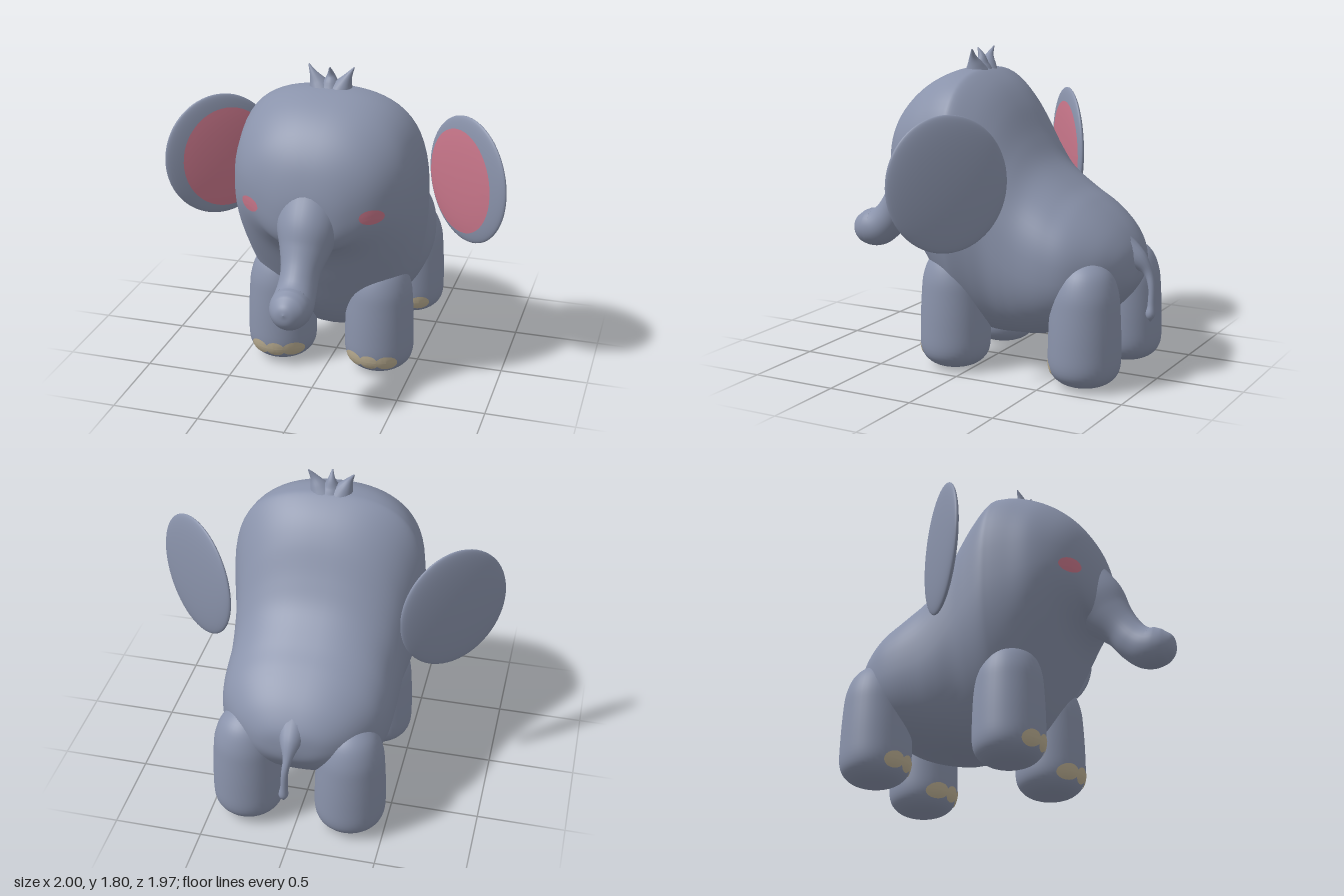
import * as THREE from 'three';

const V = (x, y, z) => new THREE.Vector3(x, y, z);
const skin = new THREE.MeshStandardMaterial({ name: 'blue grey skin', color: 0x8a93ab });
const pink = new THREE.MeshStandardMaterial({ name: 'pink', color: 0xc8768a });
const ivory = new THREE.MeshStandardMaterial({ name: 'ivory nail', color: 0xbdb094 });

function part(name, geometry, material = skin) {
  const mesh = new THREE.Mesh(geometry, material);
  mesh.name = name;
  return mesh;
}

// Closed smooth skin over rings; ring(t) gives a function of the angle around it
function loft(ring, steps, around) {
  const pos = [], index = [];
  for (let i = 0; i <= steps; i++) {
    const at = ring(i / steps);
    for (let j = 0; j < around; j++) pos.push(...at((j / around) * Math.PI * 2).toArray());
  }
  for (let i = 0; i < steps; i++) {
    for (let j = 0; j < around; j++) {
      const a = i * around + j, b = i * around + (j + 1) % around;
      index.push(a, b, a + around, b, b + around, a + around);
    }
  }
  const geo = new THREE.BufferGeometry();
  geo.setAttribute('position', new THREE.Float32BufferAttribute(pos, 3));
  geo.setIndex(index);
  geo.computeVertexNormals();
  return geo;
}

const spline = (points) => new THREE.CatmullRomCurve3(points, false, 'catmullrom', 0.5);

// Round tube through [x, y, z, radius] points
function taperedTube(points, steps, around) {
  const path = spline(points.map((p) => V(p[0], p[1], p[2])));
  const radius = spline(points.map((p) => V(p[3], 0, 0)));
  return loft((t) => {
    const c = path.getPoint(t), d = path.getTangent(t), r = Math.max(0.001, radius.getPoint(t).x);
    const v = d.clone().cross(V(1, 0, 0)).normalize();
    const u = v.clone().cross(d);
    return (a) => c.clone().addScaledVector(u, r * Math.cos(a)).addScaledVector(v, r * Math.sin(a));
  }, steps, around);
}

// Upright body sections, rump to face: [z, bottom, top, half width, lift of widest level]
const SECTIONS = [
  [-0.88, 0.61, 0.66, 0.01, 0], [-0.86, 0.53, 0.74, 0.17, 0], [-0.8, 0.44, 0.83, 0.29, 0],
  [-0.72, 0.36, 0.91, 0.38, 0], [-0.62, 0.29, 0.985, 0.45, 0], [-0.5, 0.24, 1.06, 0.48, 0],
  [-0.35, 0.2, 1.18, 0.485, 0], [-0.25, 0.19, 1.32, 0.49, 0.02], [-0.15, 0.18, 1.49, 0.5, 0.08],
  [-0.06, 0.18, 1.6, 0.525, 0.14], [0.04, 0.2, 1.675, 0.553, 0.2], [0.1, 0.24, 1.69, 0.55, 0.2],
  [0.2, 0.36, 1.68, 0.53, 0.16], [0.32, 0.58, 1.63, 0.5, 0.08], [0.42, 0.77, 1.56, 0.44, 0],
  [0.5, 0.86, 1.47, 0.36, 0], [0.56, 0.89, 1.36, 0.26, 0], [0.6, 0.95, 1.22, 0.15, 0],
  [0.615, 1.06, 1.09, 0.01, 0],
];

function bodyGeometry() {
  const centre = spline(SECTIONS.map(([z, lo, hi]) => V(0, (lo + hi) / 2, z)));
  const size = spline(SECTIONS.map(([, lo, hi, w, lift]) => V(w, (hi - lo) / 2, lift)));
  const bulge = (s) => Math.sign(s) * Math.abs(s) ** (2 / 2.3);
  return loft((t) => {
    const c = centre.getPoint(t), s = size.getPoint(t);
    return (a) => {
      const lift = s.z * Math.cos(a) ** 2;
      return V(s.x * bulge(Math.cos(a)), c.y + s.y * (bulge(Math.sin(a)) + lift), c.z);
    };
  }, 108, 64);
}

// Thin oval laid on the front of a target mesh
function frontPatch(name, target, x, y, rx, ry, material) {
  const geo = new THREE.RingGeometry(0.001, 1, 28, 4).scale(rx, ry, 1).translate(x, y, 0);
  const p = geo.attributes.position, ray = new THREE.Raycaster();
  target.updateMatrixWorld(true);
  for (let i = 0; i < p.count; i++) {
    ray.set(V(p.getX(i), p.getY(i), 3), V(0, 0, -1));
    const hit = ray.intersectObject(target)[0];
    if (hit) p.setZ(i, hit.point.z + 0.005);
  }
  geo.computeVertexNormals();
  return part(name, geo, material);
}

// Rounded pillar leg with a domed hip
function legGeometry() {
  const outline = new THREE.SplineCurve([
    [0, 0.005], [0.1, 0.017], [0.165, 0.055], [0.197, 0.12], [0.2, 0.25],
    [0.193, 0.42], [0.18, 0.54], [0.14, 0.64], [0.07, 0.7], [0, 0.715],
  ].map(([r, y]) => new THREE.Vector2(r, y)));
  const points = outline.getPoints(40);
  points.forEach((q) => { q.x = Math.max(0, q.x); });
  return new THREE.LatheGeometry(points, 40);
}

// Lens-shaped ear with a pink lining on its front; side is +1 left, -1 right
function ear(side) {
  const [w, h, d] = [0.34, 0.37, 0.042];
  const group = new THREE.Group();
  group.name = side > 0 ? 'leftEar' : 'rightEar';
  const lining = new THREE.RingGeometry(0.001, 1, 48, 10).scale(0.275, 0.305, 1).translate(-0.035 * side, -0.015, 0);
  const p = lining.attributes.position;
  for (let i = 0; i < p.count; i++) {
    const k = 1 - (p.getX(i) / w) ** 2 - (p.getY(i) / h) ** 2;
    p.setZ(i, d * Math.sqrt(Math.max(0, k)) + 0.004);
  }
  lining.computeVertexNormals();
  group.add(part('earFlap', new THREE.SphereGeometry(1, 48, 32).scale(w, h, d)), part('earLining', lining, pink));
  group.position.set(0.74 * side, 1.14, -0.088);
  group.rotation.y = -0.703 * side;
  return group;
}

export function createModel() {
  const model = new THREE.Group();
  model.name = 'elephant';

  const body = part('headAndBody', bodyGeometry());
  model.add(body);

  model.add(part('trunk', taperedTube([
    [0, 1.09, 0.45, 0.2], [0, 1.0, 0.54, 0.175], [0, 0.91, 0.61, 0.138], [0, 0.82, 0.685, 0.108],
    [0, 0.74, 0.75, 0.108], [0, 0.69, 0.82, 0.115], [0, 0.685, 0.88, 0.112],
    [0, 0.69, 0.93, 0.092], [0, 0.698, 0.97, 0.05], [0, 0.7, 0.985, 0.002],
  ], 54, 32)));

  model.add(part('tail', taperedTube([
    [0, 0.72, -0.77, 0.1], [0, 0.67, -0.87, 0.06], [0, 0.61, -0.93, 0.028], [0.01, 0.53, -0.96, 0.02],
    [0.015, 0.43, -0.963, 0.021], [0.02, 0.37, -0.96, 0.026], [0.02, 0.333, -0.96, 0.003],
  ], 36, 16)));

  // Tuft of three spikes
  for (const s of [-1, 0, 1]) {
    model.add(part('hairSpike', taperedTube([
      [0.05 * s, 1.64, 0.11, 0.085], [0.075 * s, 1.7, 0.11, 0.05],
      [0.1 * s, 1.75, 0.11, 0.022], [0.13 * s, 1.8, s ? 0.1 : 0.135, 0.003],
    ], 18, 16)));
  }

  const legGeo = legGeometry();
  for (const side of [1, -1]) {
    model.add(ear(side));
    model.add(frontPatch('cheek', body, 0.345 * side, 1.105, 0.06, 0.043, pink));
    for (const [name, z] of [['frontLeg', 0.12], ['hindLeg', -0.69]]) {
      const leg = part(name, legGeo);
      leg.position.set(0.295 * side, 0, z);
      model.add(leg);
      for (const k of [-1, 0, 1]) {
        model.add(frontPatch('toenail', leg, (0.283 + 0.1 * k) * side, 0.112, 0.056, 0.046, ivory));
      }
    }
  }
  return model;
}
